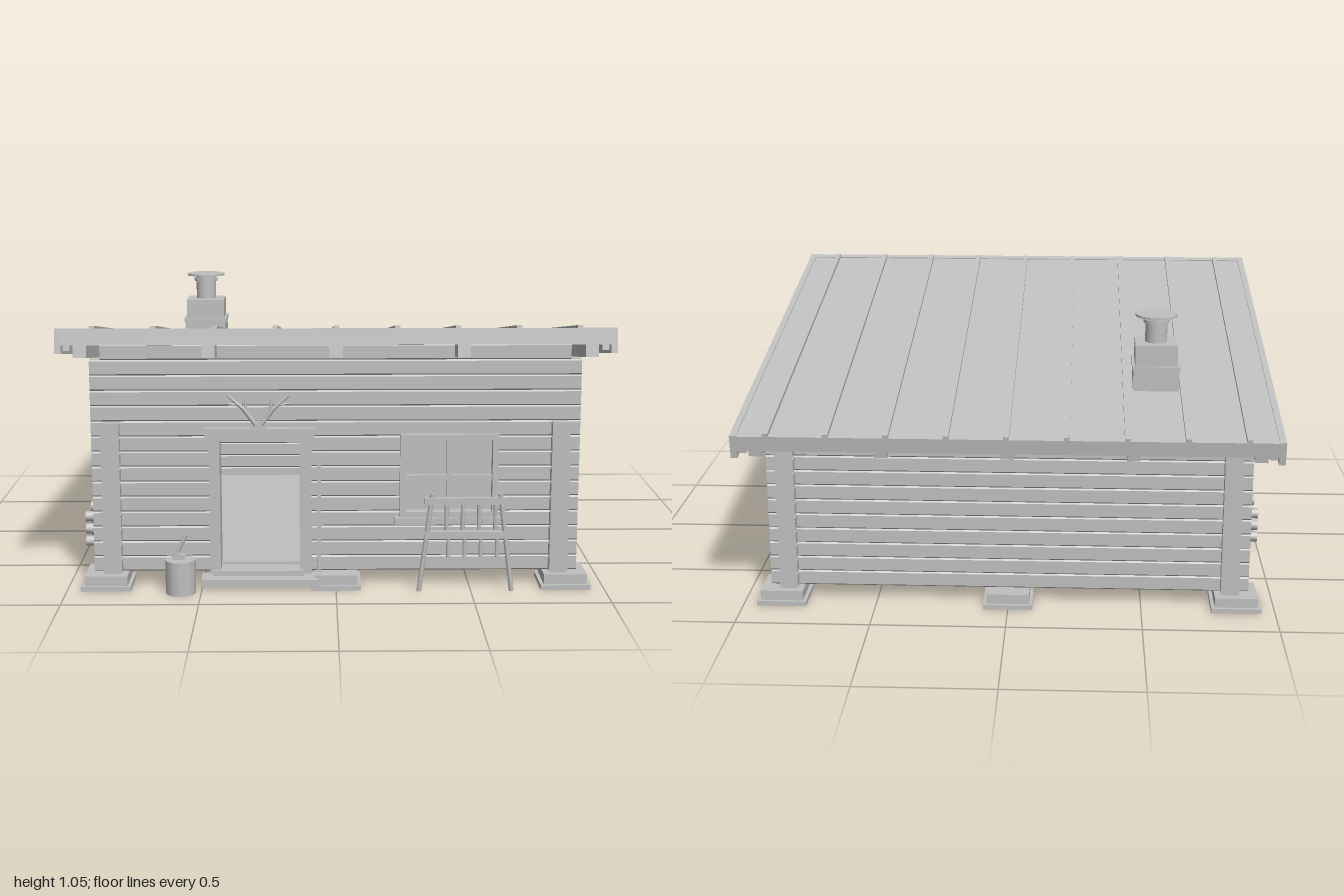
import * as THREE from 'three';

const grey = new THREE.MeshStandardMaterial({ color: 0xc0c0c0 });
grey.name = 'plain grey';

const COURSE = 0.0573, BASE = 0.055, THICK = 0.068;
const WX = 0.832, WZ = 0.728; // wall centre lines
const EX = 0.905, EZ = 0.80; // log ends

function add(parent, geometry, name) {
  const mesh = new THREE.Mesh(geometry, grey);
  mesh.name = name;
  parent.add(mesh);
  return mesh;
}

// Box given by its limits on each axis
function box(parent, name, x0, x1, y0, y1, z0, z1) {
  const m = add(parent, new THREE.BoxGeometry(x1 - x0, y1 - y0, z1 - z0), name);
  m.position.set((x0 + x1) / 2, (y0 + y1) / 2, (z0 + z1) / 2);
  return m;
}

// Round bar between two points
function bar(parent, name, a, b, r, r2 = r, sides = 8) {
  const p = new THREE.Vector3(...a), q = new THREE.Vector3(...b);
  const d = q.clone().sub(p);
  const m = add(parent, new THREE.CylinderGeometry(r2, r, d.length(), sides), name);
  m.position.copy(p).add(q).multiplyScalar(0.5);
  m.quaternion.setFromUnitVectors(new THREE.Vector3(0, 1, 0), d.normalize());
  return m;
}

// Squared log with chamfered edges, running from a to b along x or z
function log(parent, name, axis, a, b, y, across) {
  const w = THICK / 2, h = COURSE / 2, c = 0.005;
  const s = new THREE.Shape([[-w + c, -h], [w - c, -h], [w, -h + c], [w, h - c],
    [w - c, h], [-w + c, h], [-w, h - c], [-w, -h + c]].map(p => new THREE.Vector2(...p)));
  const g = new THREE.ExtrudeGeometry(s, { depth: b - a, bevelEnabled: false });
  g.translate(0, 0, a);
  if (axis === 'x') g.rotateY(Math.PI / 2);
  const m = add(parent, g, name);
  if (axis === 'x') m.position.set(0, y, across);
  else m.position.set(across, y, 0);
}

// Log wall; each opening is [from, to, firstCourse, lastCourse]
function logWall(parent, name, axis, across, end, courses, openings = []) {
  const wall = new THREE.Group();
  wall.name = name;
  parent.add(wall);
  for (let i = 0; i < courses; i++) {
    let start = -end;
    for (const [a, b, lo, hi] of openings) {
      if (i < lo || i > hi) continue;
      log(wall, 'wallLog', axis, start, a, BASE + (i + 0.5) * COURSE, across);
      start = b;
    }
    log(wall, 'wallLog', axis, start, end, BASE + (i + 0.5) * COURSE, across);
  }
  return wall;
}

// Four-pane window facing +z, centred on its own x = 0
function makeWindow(w) {
  const g = new THREE.Group();
  g.name = 'window';
  const y0 = 0.265, y1 = 0.58, t = 0.022, h = w / 2;
  for (const s of [-1, 1]) box(g, 'windowJamb', s * (h - t / 2) - t / 2, s * (h - t / 2) + t / 2, y0, y1, -0.06, 0.025);
  box(g, 'windowHead', -h + t, h - t, y1 - t, y1, -0.06, 0.025);
  box(g, 'windowFoot', -h + t, h - t, y0, y0 + t, -0.06, 0.025);
  box(g, 'windowSill', -h - 0.02, h + 0.01, 0.24, y0, -0.02, 0.035);
  box(g, 'mullion', -0.009, 0.009, y0 + t, y1 - t, -0.025, 0.01);
  box(g, 'glazingBar', -h + t, h - t, 0.405, 0.423, -0.025, 0.008);
  box(g, 'windowPane', -h + t, h - t, y0 + t, y1 - t, -0.018, -0.012);
  return g;
}

export function createModel() {
  const model = new THREE.Group();
  model.name = 'logCabin';

  // Foundation stones
  for (const z of [-0.75, 0.75]) for (const x of [-0.855, 0, 0.855]) {
    box(model, 'footingSlab', x - 0.093, x + 0.093, 0, 0.018, z - 0.093, z + 0.093);
    box(model, 'footingBlock', x - 0.08, x + 0.08, 0.018, BASE, z - 0.08, z + 0.08);
  }

  // Floor and its middle beam
  box(model, 'floor', -0.81, 0.81, 0.058, 0.075, -0.71, 0.71);
  box(model, 'floorBeam', -0.02, 0.02, 0.03, 0.06, -0.74, 0.74);

  // Walls
  logWall(model, 'frontWall', 'x', WZ, EX, 14, [[-0.435, -0.13, 0, 8], [0.26, 0.585, 4, 8]]);
  logWall(model, 'backWall', 'x', -WZ, EX, 10);
  logWall(model, 'rightWall', 'z', -WX, EZ, 10, [[-0.14, 0.2, 4, 8]]);
  logWall(model, 'leftWall', 'z', WX, EZ, 10);
  log(model, 'frontTopLog', 'x', -0.865, 0.865, BASE + 14.5 * COURSE, WZ);
  log(model, 'backTopLog', 'x', -0.865, 0.865, BASE + 10.5 * COURSE, -WZ);

  // Sloping gable panels
  const gable = new THREE.Shape([[-0.755, 0.625], [0.755, 0.625], [0.755, 0.93], [-0.755, 0.69]]
    .map(p => new THREE.Vector2(...p)));
  for (const s of [-1, 1]) {
    const g = new THREE.ExtrudeGeometry(gable, { depth: 0.06, bevelEnabled: false });
    g.rotateY(-Math.PI / 2);
    add(model, g, 'gablePanel').position.x = s * 0.833 + 0.03;
  }

  // Roof, tilted up to the front; its top surface lies at local y = 0
  const roof = new THREE.Group();
  roof.name = 'roof';
  roof.position.y = 0.845;
  roof.rotation.x = -Math.atan(0.16);
  model.add(roof);
  const L = 0.945;
  box(roof, 'roofDeck', -0.98, 0.98, -0.04, 0, -L, L - 0.02);
  for (const s of [-1, 1]) {
    const x = s * 0.988;
    box(roof, 'bargeBoard', x - 0.012, x + 0.012, -0.085, 0.004, -L, L);
    box(roof, 'innerBargeBoard', s * 0.962 - 0.013, s * 0.962 + 0.013, -0.075, -0.04, -L + 0.02, L - 0.03);
  }
  box(roof, 'frontFascia', -0.976, 0.976, -0.055, 0.004, L - 0.035, L);
  box(roof, 'backFascia', -0.976, 0.976, -0.055, 0.002, -L, -L + 0.035);
  for (let i = -4; i <= 4; i++) box(roof, 'roofRib', i * 0.2175 - 0.01, i * 0.2175 + 0.01, -0.002, 0.014, -L, 0.925);
  for (const x of [-0.92, -0.46, 0, 0.46, 0.92]) box(roof, 'rafter', x - 0.024, x + 0.024, -0.1, -0.04, -0.9, 0.88);

  // Chimney
  const chimney = new THREE.Group();
  chimney.name = 'chimney';
  chimney.position.set(-0.55, 0, -0.42);
  model.add(chimney);
  box(chimney, 'chimneyBase', -0.08, 0.08, 0.72, 0.94, -0.08, 0.08);
  box(chimney, 'chimneySkirt', -0.087, 0.087, 0.72, 0.848, -0.087, 0.087);
  box(chimney, 'chimneyCollar', -0.091, 0.091, 0.845, 0.86, -0.091, 0.091);
  bar(chimney, 'chimneyPipe', [0, 0.93, 0], [0, 1.04, 0], 0.042, 0.042, 24);
  bar(chimney, 'pipeRing', [0, 1.015, 0], [0, 1.028, 0], 0.05, 0.05, 24);
  bar(chimney, 'chimneyCap', [0, 1.04, 0], [0, 1.048, 0], 0.08, 0.08, 32);

  // Door frame and step
  box(model, 'doorJamb', -0.47, -0.43, 0.05, 0.56, 0.68, 0.785);
  box(model, 'doorJamb', -0.135, -0.09, 0.05, 0.56, 0.68, 0.785);
  box(model, 'doorLintel', -0.485, -0.08, 0.56, 0.605, 0.68, 0.79);
  box(model, 'doorSill', -0.46, -0.12, 0.045, 0.065, 0.68, 0.80);
  box(model, 'doorStep', -0.5, -0.065, 0.015, 0.045, 0.755, 0.85);

  // Skis standing by the door
  for (const z of [0.772, 0.79]) box(model, 'ski', -0.07, -0.056, 0.06, 0.5 + (z - 0.772), z, z + 0.01);

  // Antlers above the door
  box(model, 'antlerPlaque', -0.31, -0.26, 0.605, 0.63, 0.762, 0.79);
  for (const s of [-1, 1]) {
    const p = (x, y) => [-0.285 + s * x, y, 0.79];
    bar(model, 'antler', p(0.01, 0.62), p(0.055, 0.68), 0.008);
    bar(model, 'antler', p(0.055, 0.68), p(0.112, 0.73), 0.008, 0.004);
    bar(model, 'antlerTine', p(0.045, 0.668), p(0.05, 0.725), 0.006, 0.003);
    bar(model, 'antlerTine', p(0.07, 0.693), p(0.115, 0.7), 0.005, 0.003);
  }

  // Windows
  const frontWindow = makeWindow(0.365);
  frontWindow.position.set(0.42, 0, 0.762);
  const sideWindow = makeWindow(0.39);
  sideWindow.position.set(-0.866, 0, 0.03);
  sideWindow.rotation.y = -Math.PI / 2;
  model.add(frontWindow, sideWindow);

  // Firewood by the side wall
  for (const z of [-0.16, 0, 0.15, 0.31]) for (const y of [0.148, 0.097, 0.046])
    bar(model, 'firewood', [-0.85, y, z], [-0.998, y, z], 0.021, 0.021, 10);

  // Sled standing under the front window
  const sled = new THREE.Group();
  sled.name = 'sled';
  sled.position.z = 0.86;
  model.add(sled);
  for (const s of [-1, 1]) bar(sled, 'sledRunner', [0.478 + s * 0.172, 0.004, 0], [0.478 + s * 0.125, 0.375, 0], 0.009);
  box(sled, 'topRail', 0.325, 0.635, 0.335, 0.36, -0.01, 0.01);
  box(sled, 'middleRail', 0.325, 0.63, 0.207, 0.232, -0.01, 0.01);
  for (let i = 0; i < 4; i++) {
    const x = 0.405 + i * 0.06;
    bar(sled, 'upperSpindle', [x, 0.24, 0.008], [x, 0.335, 0.008], 0.008);
    bar(sled, 'lowerSpindle', [x + 0.008, 0.135, 0], [x + 0.008, 0.21, 0], 0.007);
  }

  // Chopping block with axe
  bar(model, 'choppingBlock', [-0.575, 0, 0.855], [-0.575, 0.127, 0.855], 0.056, 0.056, 12);
  bar(model, 'axeHandle', [-0.595, 0.135, 0.855], [-0.553, 0.22, 0.855], 0.007);
  const head = box(model, 'axeHead', -0.6, -0.56, 0.12, 0.15, 0.847, 0.863);
  head.rotation.z = -0.45;

  return model;
}
